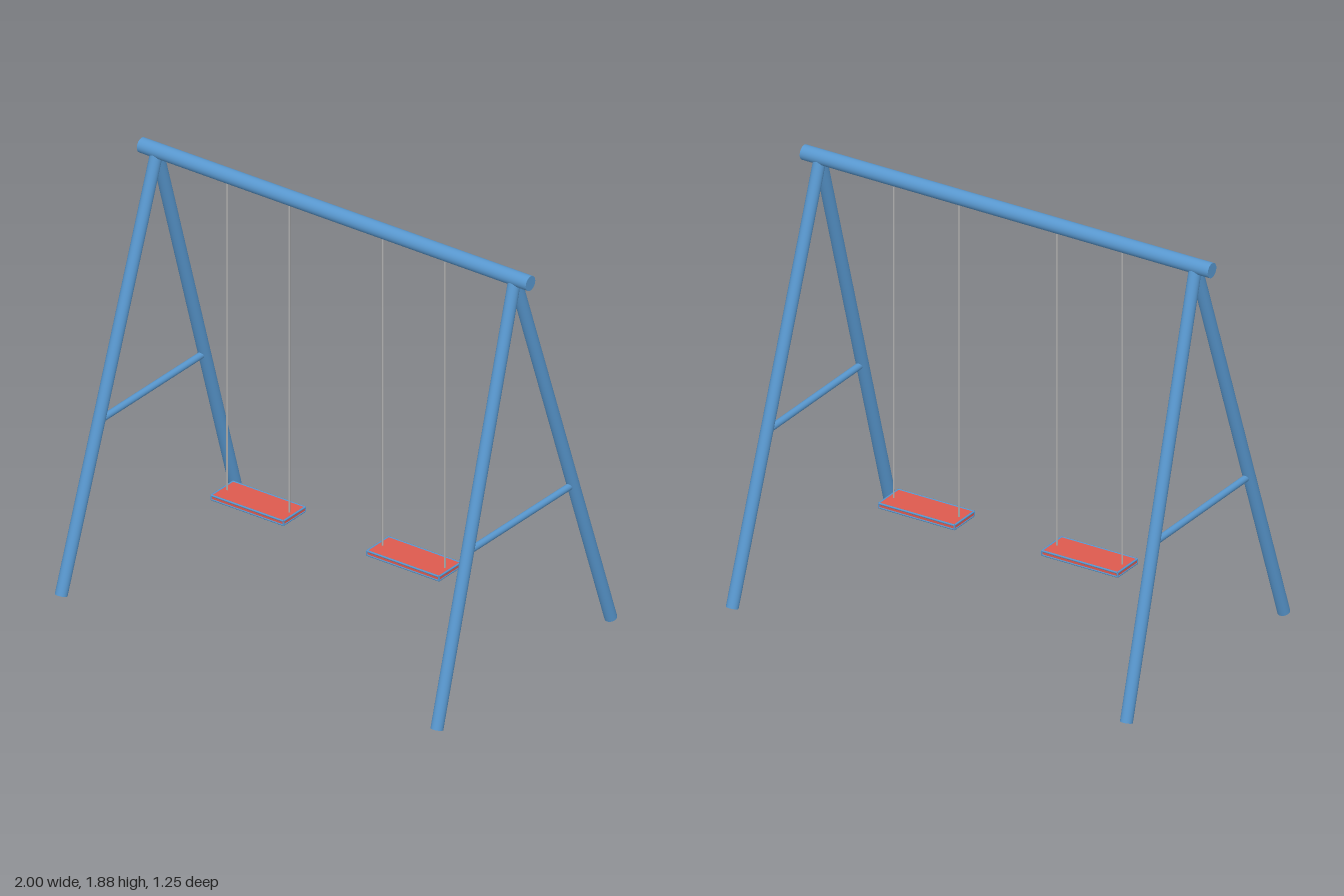
import * as THREE from 'three';

const blue = new THREE.MeshStandardMaterial({ color: 0x5897ce });
blue.name = 'blue paint';
const red = new THREE.MeshStandardMaterial({ color: 0xdc5a4e });
red.name = 'red seat';
const grey = new THREE.MeshStandardMaterial({ color: 0xb0b0b0 });
grey.name = 'grey chain';

// Round bar running between two points
function bar(name, from, to, radius, material, sides = 24) {
  const a = new THREE.Vector3(...from);
  const b = new THREE.Vector3(...to);
  const dir = b.clone().sub(a);
  const mesh = new THREE.Mesh(new THREE.CylinderGeometry(radius, radius, dir.length(), sides), material);
  mesh.name = name;
  mesh.position.copy(a).add(b).multiplyScalar(0.5);
  mesh.quaternion.setFromUnitVectors(new THREE.Vector3(0, 1, 0), dir.normalize());
  return mesh;
}

// Splayed A-frame with a cross brace; side is +1 or -1
function aFrame(side) {
  const group = new THREE.Group();
  group.name = side > 0 ? 'leftFrame' : 'rightFrame';
  for (const z of [1, -1]) {
    group.add(bar(z > 0 ? 'frontLeg' : 'backLeg',
      [side * 0.966, 0.009, z * 0.6], [side * 0.92, 1.847, 0], 0.027, blue));
  }
  group.add(bar('crossBrace', [side * 0.947, 0.731, -0.36], [side * 0.947, 0.731, 0.36], 0.015, blue, 16));
  return group;
}

// Red board with thin blue piping along its edges
function seat() {
  const [w, h, d, r] = [0.185, 0.009, 0.0745, 0.0045];
  const group = new THREE.Group();
  group.name = 'seat';
  const board = new THREE.Mesh(new THREE.BoxGeometry(2 * w + 0.004, 2 * h + 0.004, 2 * d + 0.004), red);
  board.name = 'board';
  group.add(board);
  for (const a of [-1, 1]) {
    for (const b of [-1, 1]) {
      group.add(
        bar('edgePiping', [-w, a * h, b * d], [w, a * h, b * d], r, blue, 8),
        bar('edgePiping', [a * w, b * h, -d], [a * w, b * h, d], r, blue, 8),
        bar('cornerPiping', [a * w, -h, b * d], [a * w, h, b * d], r, blue, 8),
      );
    }
  }
  group.position.y = 0.362;
  return group;
}

// Seat hanging on two chains
function swing(side) {
  const group = new THREE.Group();
  group.name = side > 0 ? 'leftSwing' : 'rightSwing';
  group.add(seat());
  for (const x of [-0.16, 0.16]) {
    group.add(bar('chain', [x, 0.37, 0], [x, 1.85, 0], 0.004, grey, 8));
  }
  group.position.x = side * 0.4;
  return group;
}

export function createModel() {
  const model = new THREE.Group();
  model.name = 'swingSet';
  model.add(bar('topBeam', [-1, 1.85, 0], [1, 1.85, 0], 0.033, blue, 32));
  for (const side of [1, -1]) model.add(aFrame(side), swing(side));
  return model;
}
